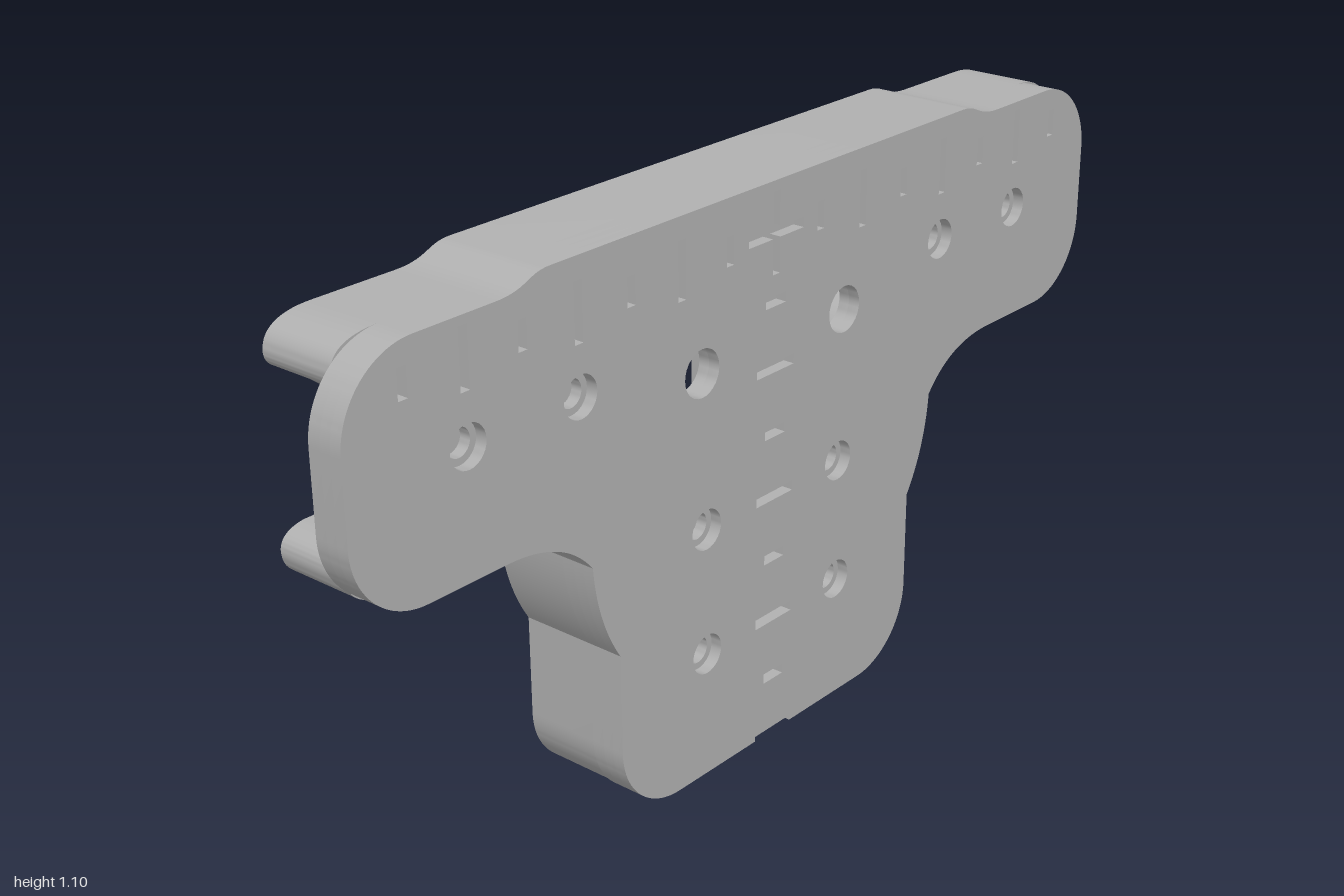
import * as THREE from 'three';
import { toCreasedNormals } from 'three/addons/utils/BufferGeometryUtils.js';

const grey = new THREE.MeshStandardMaterial({ color: 0xb0b0b0 });
grey.name = 'grey';

const FRONT = 0.11, BACK = -0.11, PLATE_BACK = 0.04;

export function createModel() {
  const model = new THREE.Group();

  function add(name, geometry) {
    const mesh = new THREE.Mesh(geometry, grey);
    mesh.name = name;
    model.add(mesh);
    return mesh;
  }

  // Extrude a shape between two depths, smooth on curves and sharp on edges
  function slab(shape, z0, z1) {
    const g = new THREE.ExtrudeGeometry(shape, { depth: z1 - z0, bevelEnabled: false, curveSegments: 14 });
    g.translate(0, 0, z0);
    return toCreasedNormals(g, 0.5);
  }

  // Close a half outline (+x side) with its mirror image
  function symmetric(path) {
    const pts = path.getPoints(14);
    const mirrored = pts.filter(p => p.x > 1e-6).reverse().map(p => new THREE.Vector2(-p.x, p.y));
    return new THREE.Shape([...pts, ...mirrored]);
  }

  const circle = (x, y, r) => new THREE.Path().absarc(x, y, r, 0, Math.PI * 2, true);
  const polygon = pts => new THREE.Path(pts.map(p => new THREE.Vector2(...p)));
  const slot = (x, y, w, h) => polygon([
    [x - w, y - h], [x - w, y + h], [x + w, y + h], [x + w, y - h],
  ]);

  // T-shaped plate outline, optionally with the zero mark cut in the bottom edge
  function plateShape(notch, holes) {
    const p = new THREE.Path();
    if (notch) {
      p.moveTo(0, 0.01);
      p.lineTo(0.052, 0.01);
      p.lineTo(0.052, 0);
    } else p.moveTo(0, 0);
    p.lineTo(0.27, 0);
    p.absarc(0.27, 0.15, 0.15, -Math.PI / 2, 0, false);
    p.lineTo(0.42, 0.345);
    p.quadraticCurveTo(0.475, 0.43, 0.483, 0.54);
    p.quadraticCurveTo(0.55, 0.625, 0.68, 0.625);
    p.lineTo(0.85, 0.625);
    p.absarc(0.85, 0.775, 0.15, -Math.PI / 2, 0, false);
    p.lineTo(1, 0.92);
    p.absarc(0.85, 0.92, 0.15, 0, Math.PI / 2, false);
    p.lineTo(0.68, 1.07);
    p.bezierCurveTo(0.61, 1.07, 0.61, 1.095, 0.56, 1.095);
    p.lineTo(0, 1.095);
    const s = symmetric(p);
    s.holes.push(...holes);
    return s;
  }

  // Hole positions
  const through = [[0.2, 0.8], [-0.2, 0.8]];
  const blind = [];
  for (const s of [-1, 1]) blind.push([s * 0.19, 0.5], [s * 0.19, 0.25], [s * 0.5, 0.855], [s * 0.75, 0.855]);
  const throughHoles = r => through.map(([x, y]) => circle(x, y, r));

  // Engraved scale marks: cross, horizontal row and vertical column
  const a = 0.01, b = 0.076;
  const marks = [polygon([
    [-a, 1 - b], [-a, 1 - a], [-b, 1 - a], [-b, 1 + a], [-a, 1 + a], [-a, 1 + b],
    [a, 1 + b], [a, 1 + a], [b, 1 + a], [b, 1 - a], [a, 1 - a], [a, 1 - b],
  ])];
  for (let i = 1; i <= 7; i++) {
    const long = i % 2 === 0;
    for (const s of [-1, 1]) marks.push(slot(s * i * 0.125, 1, 0.01, long ? 0.054 : 0.027));
    marks.push(slot(0, 1 - i * 0.125, long ? 0.052 : 0.028, 0.01));
  }

  // Plate in three layers: engraved face, narrowed holes, counterbored back
  add('plateFace', slab(plateShape(true, [
    ...throughHoles(0.045), ...blind.map(([x, y]) => circle(x, y, 0.039)), ...marks,
  ]), 0.087, FRONT));
  add('plateCore', slab(plateShape(false, [
    ...throughHoles(0.045), ...blind.map(([x, y]) => circle(x, y, 0.026)),
  ]), 0.065, 0.087));
  add('plateBack', slab(plateShape(false, throughHoles(0.115)), PLATE_BACK, 0.065));

  // Top rail with rounded ends and a sloping underside
  const rail = new THREE.Path();
  rail.moveTo(0, 0.98);
  rail.lineTo(0.9, 0.98);
  rail.quadraticCurveTo(0.948, 0.985, 0.95, 1.015);
  rail.quadraticCurveTo(0.95, 1.07, 0.85, 1.07);
  rail.lineTo(0.68, 1.07);
  rail.bezierCurveTo(0.61, 1.07, 0.61, 1.095, 0.56, 1.095);
  rail.lineTo(0, 1.095);
  const railGeometry = slab(symmetric(rail), BACK, PLATE_BACK);
  const pos = railGeometry.attributes.position;
  const underside = z => 0.99 - (z - BACK) * 0.1;
  for (let i = 0; i < pos.count; i++) {
    if (pos.getY(i) < 0.985) pos.setY(i, underside(pos.getZ(i)));
  }
  add('topRail', railGeometry);

  // Fine ridges along the rail underside
  for (let i = 0; i < 11; i++) {
    const z = 0.033 - i * 0.013;
    const ridge = add('railRidge', new THREE.CylinderGeometry(0.004, 0.004, 1.8, 4));
    ridge.rotation.z = Math.PI / 2;
    ridge.position.set(0, underside(z), z);
  }

  // Curved side walls that follow the plate edge
  for (const s of [-1, 1]) {
    const w = new THREE.Path();
    w.moveTo(0.375, 0.045);
    w.quadraticCurveTo(0.42, 0.09, 0.42, 0.15);
    w.lineTo(0.42, 0.345);
    w.quadraticCurveTo(0.475, 0.43, 0.483, 0.54);
    w.quadraticCurveTo(0.55, 0.625, 0.68, 0.625);
    w.lineTo(0.85, 0.625);
    w.quadraticCurveTo(0.95, 0.625, 0.95, 0.685);
    w.quadraticCurveTo(0.948, 0.715, 0.9, 0.72);
    w.lineTo(0.53, 0.72);
    w.bezierCurveTo(0.45, 0.72, 0.39, 0.66, 0.39, 0.58);
    w.quadraticCurveTo(0.398, 0.45, 0.33, 0.37);
    w.lineTo(0.33, 0.09);
    w.quadraticCurveTo(0.335, 0.045, 0.375, 0.045);
    const pts = w.getPoints(14).slice(0, -1).map(p => new THREE.Vector2(s * p.x, p.y));
    add(s > 0 ? 'leftWall' : 'rightWall', slab(new THREE.Shape(pts), BACK, PLATE_BACK));
  }

  // Centre guide: two thin strips with a slot between
  for (const s of [-1, 1]) {
    const strip = add('guideStrip', new THREE.BoxGeometry(0.019, 0.98, 0.1));
    strip.position.set(s * 0.0215, 0.491, -0.01);
  }

  // Raised discs with pins on the back
  for (const s of [-1, 1]) {
    for (const [name, r, z0, z1] of [['disc', 0.118, -0.03, 0.05], ['pin', 0.027, -0.09, -0.02]]) {
      const part = add(name, new THREE.CylinderGeometry(r, r, z1 - z0, 40));
      part.rotation.x = Math.PI / 2;
      part.position.set(s * 0.19, 0.5, (z0 + z1) / 2);
    }
  }

  return model;
}
